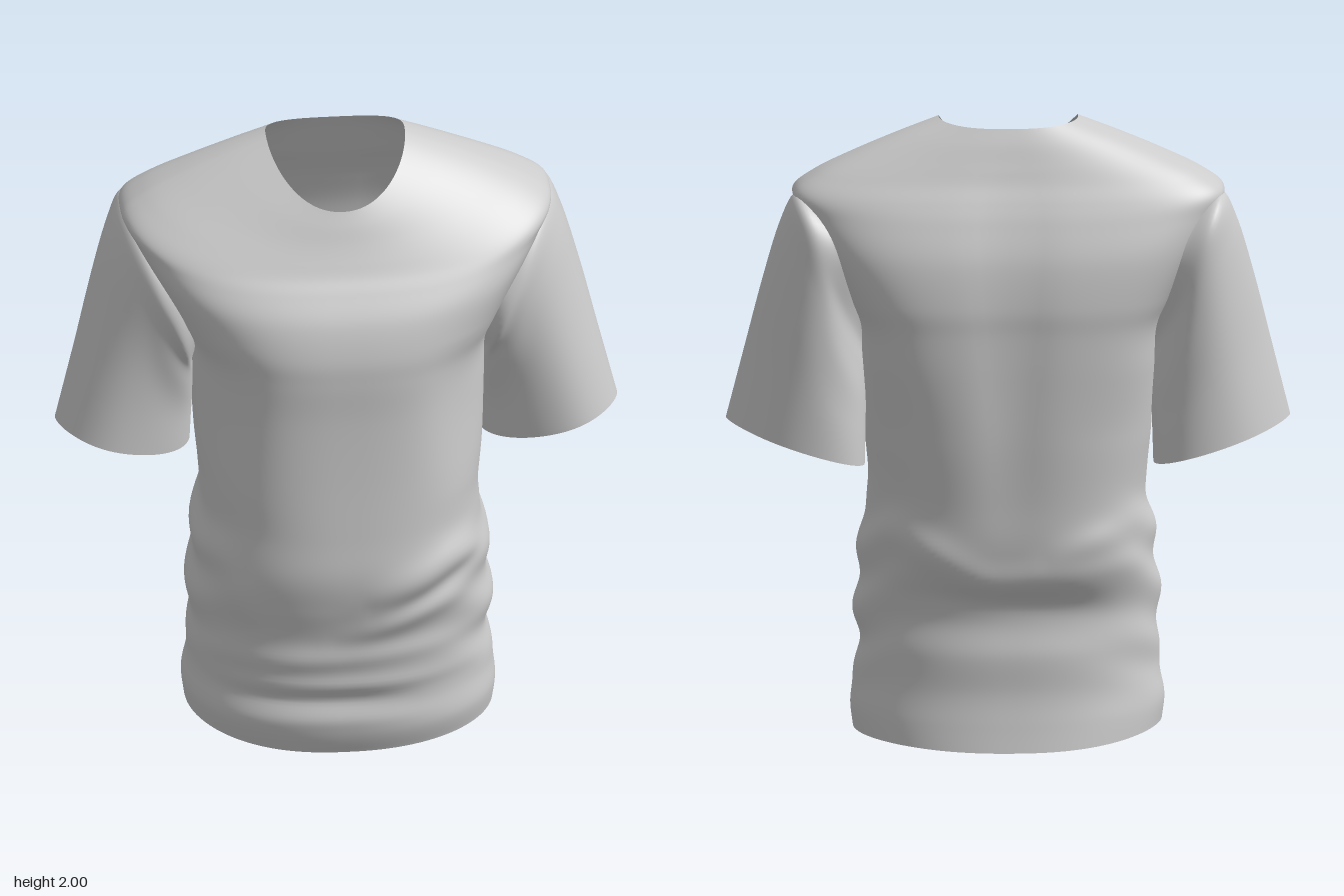
import * as THREE from 'three';

const { smoothstep, lerp } = THREE.MathUtils;
const material = new THREE.MeshStandardMaterial({ color: 0xcccccc, side: THREE.DoubleSide });

// Body profile from hem to neckline: height, half width, front z, back z
const BODY = [
  [0.0, 0.487, 0.34, -0.36], [0.08, 0.495, 0.365, -0.345], [0.18, 0.485, 0.36, -0.33],
  [0.3, 0.472, 0.375, -0.33], [0.42, 0.48, 0.38, -0.315], [0.54, 0.47, 0.405, -0.36],
  [0.66, 0.463, 0.42, -0.388], [0.8, 0.437, 0.41, -0.4], [1.0, 0.452, 0.395, -0.415],
  [1.2, 0.46, 0.385, -0.42], [1.34, 0.467, 0.385, -0.42], [1.44, 0.51, 0.378, -0.42],
  [1.58, 0.585, 0.345, -0.4], [1.7, 0.65, 0.295, -0.36], [1.77, 0.68, 0.26, -0.33],
  [1.83, 0.61, 0.235, -0.3], [1.89, 0.49, 0.21, -0.275], [1.95, 0.35, 0.185, -0.25],
  [2.0, 0.22, 0.16, -0.225],
];

// Sleeve from seam to cuff: outer x, y, inner x, y, front z, back z, forward shift of the inner side
const SLEEVE = [
  [0.6, 1.74, 0.44, 1.33, 0.12, -0.3, 0.06], [0.672, 1.765, 0.46, 1.27, 0.125, -0.315, 0.06],
  [0.722, 1.67, 0.452, 1.19, 0.105, -0.32, 0.03], [0.775, 1.49, 0.45, 1.11, 0.09, -0.32, 0],
  [0.83, 1.27, 0.452, 1.01, 0.082, -0.315, -0.03], [0.89, 1.03, 0.455, 0.9, 0.08, -0.31, -0.05],
];

// Folds: side (1 front, -1 back), x0, y0, x1, y1, width, height
const FOLDS = [
  [1, 0.5, 0.76, 0.05, 0.56, 0.06, 0.026], [1, 0.48, 0.6, -0.05, 0.42, 0.05, 0.02],
  [1, 0.48, 0.68, 0.1, 0.5, 0.035, -0.014], [1, -0.46, 0.8, -0.3, 0.45, 0.06, 0.016],
  [1, -0.45, 0.33, 0.5, 0.39, 0.04, 0.011], [1, -0.5, 0.25, 0.4, 0.26, 0.03, 0.01],
  [1, -0.48, 0.13, 0.3, 0.13, 0.035, 0.009], [1, -0.45, 0.2, 0.2, 0.195, 0.025, -0.008],
  [1, 0.38, 1.45, 0.4, 0.9, 0.1, -0.025], [1, -0.38, 1.45, -0.4, 0.9, 0.1, -0.02],
  [-1, 0.48, 0.76, 0.05, 0.53, 0.06, 0.02], [-1, 0.15, 0.53, -0.46, 0.6, 0.06, 0.018],
  [-1, 0.45, 0.52, -0.35, 0.45, 0.045, -0.012], [-1, -0.46, 0.74, -0.1, 0.62, 0.05, 0.014],
  [-1, 0, 1.85, 0, 0.65, 0.1, -0.018],
];

// Smooth interpolation through the rows of a table, t in 0..1
function sample(rows, t) {
  const f = t * (rows.length - 1), i = Math.min(Math.floor(f), rows.length - 2), u = f - i;
  const [a, b, c, d] = [-1, 0, 1, 2].map(k => rows[Math.max(0, Math.min(rows.length - 1, i + k))]);
  return b.map((p, k) => p + 0.5 * u * (c[k] - a[k] + u * (2 * a[k] - 5 * p + 4 * c[k] - d[k]
    + u * (3 * (p - c[k]) + d[k] - a[k]))));
}

const power = (v, p) => Math.sign(v) * Math.abs(v) ** p;

// Soft ridges and hollows that fade out towards both ends
function foldHeight(x, y, side) {
  let sum = 0;
  for (const [s, x0, y0, x1, y1, width, height] of FOLDS) {
    const dx = x1 - x0, dy = y1 - y0;
    const k = THREE.MathUtils.clamp(((x - x0) * dx + (y - y0) * dy) / (dx * dx + dy * dy), 0, 1);
    const d2 = (x - x0 - k * dx) ** 2 + (y - y0 - k * dy) ** 2;
    sum += height * (0.15 + 0.85 * Math.sin(Math.PI * k)) * Math.exp(-d2 / (width * width))
      * smoothstep(s * side, 0, 0.6);
  }
  return sum;
}

function bodyPoint(t, angle) {
  const [h, w, front, back] = sample(BODY, t);
  const c = Math.cos(angle), s = Math.sin(angle);
  // squarer at the chest and shoulder blades, rounder at hem and neck
  let p = 2.3 + 0.5 * smoothstep(h, 0.3, 1.2) - 0.65 * smoothstep(h, 1.6, 1.95);
  const backness = smoothstep(-s, -0.15, 0.15);
  p += backness * (0.9 * smoothstep(h, 1.0, 1.4) - 0.4 * smoothstep(h, 1.8, 2));
  const mid = lerp(0, -0.1, smoothstep(h, 0.8, 1.6));
  let x = w * power(c, 2 / p);
  let z = mid + (s > 0 ? front - mid : mid - back) * power(s, 2 / p);
  // neckline dips in front, hem lifts at the sides
  const y = h - (s > 0 ? 0.15 : 0.02) * Math.abs(s) ** 1.5 * smoothstep(h, 1.35, 2)
    + (0.04 - 0.012 * c) * c * c * (1 - smoothstep(h, 0, 0.3));
  z += Math.sign(s) * foldHeight(x, y, s);
  // swags around the sides below the waist
  const slack = smoothstep(y, 0.1, 0.35) * (1 - smoothstep(y, 0.6, 0.9)) * c * c;
  x += Math.sign(c) * 0.009 * slack * Math.sin(32 * (y - 1.1 * z * z) + 1.2 * c + 3 * z);
  return [x, y, z];
}

function sleevePoint(t, angle, side) {
  const [ox, oy, ix, iy, front, back, shift] = sample(SLEEVE, t);
  const c = Math.cos(angle);
  // outer side narrows towards the cuff
  const s = power(Math.sin(angle), 0.92 + 0.35 * smoothstep(c, -0.2, 0.8) * smoothstep(t, 0.2, 0.8));
  const x = (ox + ix) / 2 + (ox - ix) / 2 * c;
  const y = (oy + iy) / 2 + (oy - iy) / 2 * c;
  const crease = 0.012 * Math.sin(16 * t + 2 * c) * (1 - t) * Math.max(0, -c);
  const z = (front + back) / 2 + ((front - back) / 2 + crease) * s - shift * c;
  return [side * x, y, z];
}

// Grid surface closed around its rings; skip leaves out faces by their centre
function loft(point, rings, segments, flip = false, skip = () => false) {
  const positions = [], index = [];
  for (let r = 0; r <= rings; r++)
    for (let i = 0; i < segments; i++)
      positions.push(...point(r / rings, (i / segments) * Math.PI * 2));
  for (let r = 0; r < rings; r++)
    for (let i = 0; i < segments; i++) {
      const j = (i + 1) % segments;
      const a = r * segments + i, b = r * segments + j, d = a + segments, e = b + segments;
      const centre = [0, 1, 2].map(k => (positions[a * 3 + k] + positions[e * 3 + k]) / 2);
      if (skip(...centre)) continue;
      if (flip) index.push(a, b, d, b, e, d);
      else index.push(a, d, b, b, d, e);
    }
  const geometry = new THREE.BufferGeometry();
  geometry.setAttribute('position', new THREE.Float32BufferAttribute(positions, 3));
  geometry.setIndex(index);
  geometry.computeVertexNormals();
  return geometry;
}

function addMesh(group, name, geometry) {
  const mesh = new THREE.Mesh(geometry, material);
  mesh.name = name;
  group.add(mesh);
}

export function createModel() {
  const group = new THREE.Group();
  group.name = 'tShirt';

  // Torso, open at hem, neck and armholes
  const armhole = (x, y, z) => Math.abs(x) > 0.4
    && ((y - 1.53) / 0.19) ** 2 + ((z + 0.1) / 0.17) ** 2 < 1;
  addMesh(group, 'torso', loft(bodyPoint, 150, 160, false, armhole));

  // Sleeves
  for (const [name, side] of [['leftSleeve', 1], ['rightSleeve', -1]])
    addMesh(group, name, loft((t, a) => sleevePoint(t, a, side), 36, 64, side > 0));

  return group;
}
